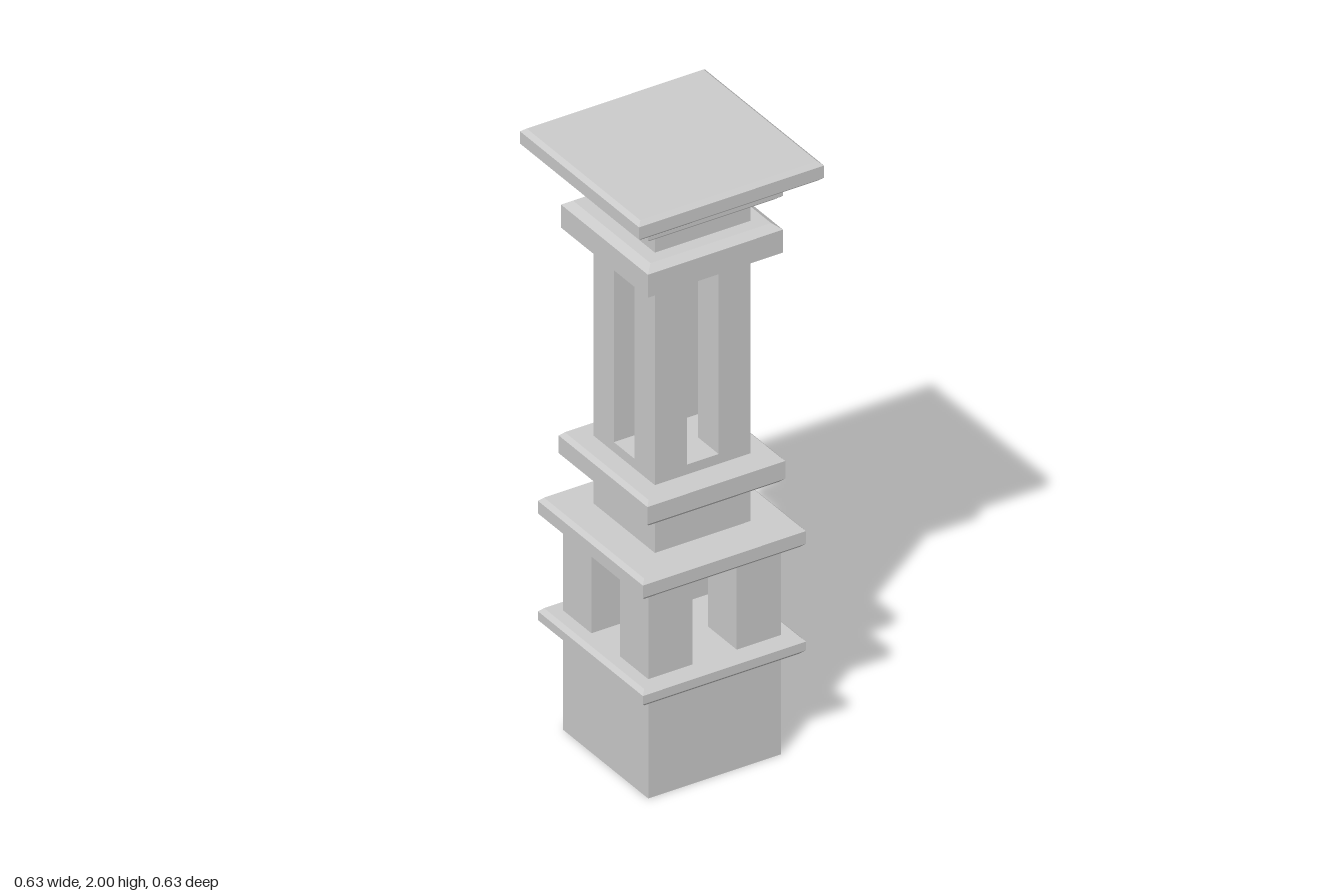
import * as THREE from 'three';

const material = new THREE.MeshStandardMaterial({ color: 0xcccccc, flatShading: true });

export function createModel() {
  const column = new THREE.Group();
  column.name = 'column';

  const add = (name, geometry, parent = column) => {
    const mesh = new THREE.Mesh(geometry, material);
    mesh.name = name;
    parent.add(mesh);
    return mesh;
  };

  // Square block from y0 to y1, half = half its width
  const block = (name, half, y0, y1, x = 0, z = 0, parent = column) =>
    add(name, new THREE.BoxGeometry(half * 2, y1 - y0, half * 2), parent)
      .position.set(x, (y0 + y1) / 2, z);

  // Square slab with chamfered upper and lower edges: a four-sided lathe
  const slab = (name, half, y0, y1, inset, rise) => {
    const profile = [
      [0, y0], [half - inset, y0], [half, y0 + rise],
      [half, y1 - rise], [half - inset, y1], [0, y1],
    ].map(([r, y]) => new THREE.Vector2(r * Math.SQRT2, y));
    add(name, new THREE.LatheGeometry(profile, 4, Math.PI / 4));
  };

  // Four square posts standing at the corners
  const posts = (name, outer, inner, y0, y1) => {
    const group = new THREE.Group();
    group.name = name;
    column.add(group);
    const c = (outer + inner) / 2;
    for (const sx of [-1, 1])
      for (const sz of [-1, 1])
        block('post', (outer - inner) / 2, y0, y1, sx * c, sz * c, group);
  };

  // Plinth and open lower stage
  block('base', 0.226, 0, 0.35);
  slab('baseSlab', 0.278, 0.345, 0.4, 0.013, 0.013);
  posts('lowerPosts', 0.226, 0.075, 0.4, 0.705);
  slab('lowerStageSlab', 0.278, 0.702, 0.77, 0.013, 0.013);

  // Neck and open shaft
  block('lowerNeck', 0.163, 0.77, 0.915);
  slab('shaftSlab', 0.235, 0.912, 0.997, 0.013, 0.013);
  block('shaftFloor', 0.163, 0.995, 1.03);
  posts('shaftPosts', 0.163, 0.054, 1.03, 1.67);

  // Stepped capital
  slab('lowerCapital', 0.23, 1.663, 1.776, 0.025, 0.018);
  block('upperNeck', 0.163, 1.775, 1.86);
  slab('upperCapital', 0.23, 1.855, 1.94, 0.02, 0.016);
  slab('capSlab', 0.315, 1.935, 2, 0.014, 0.012);

  return column;
}
